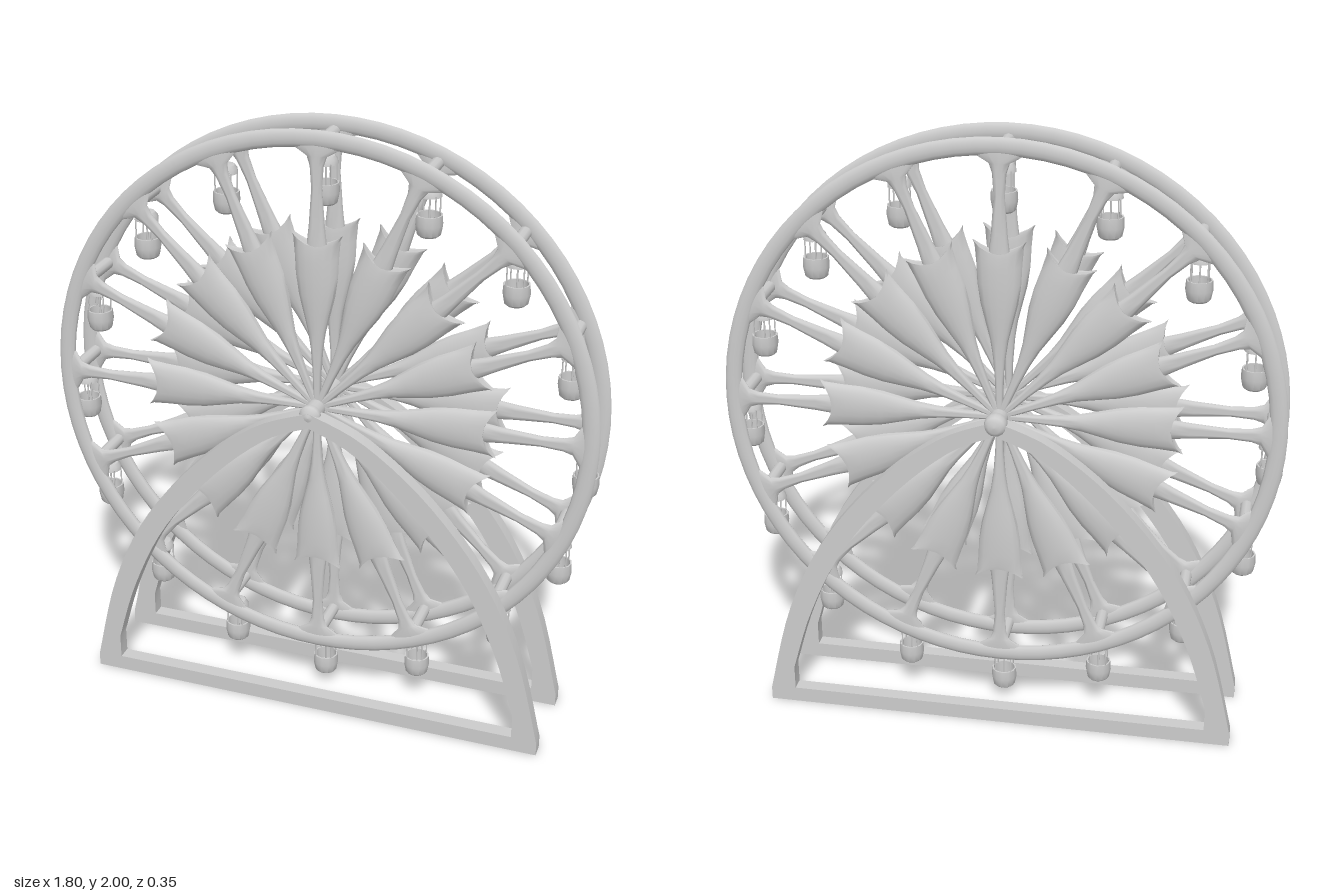
import * as THREE from 'three';
import { toCreasedNormals } from 'three/addons/utils/BufferGeometryUtils.js';

const COUNT = 16, HUB_Y = 1.1, BAR_R = 0.85, WHEEL_Z = 0.084;
const material = new THREE.MeshStandardMaterial({ color: 0xcccccc });

function part(name, geometry, parent, x = 0, y = 0, z = 0) {
  const mesh = new THREE.Mesh(geometry, material);
  mesh.name = name;
  mesh.position.set(x, y, z);
  parent.add(mesh);
  return mesh;
}

const lathe = (points, sides) =>
  new THREE.LatheGeometry(points.map(([r, y]) => new THREE.Vector2(r, y)), sides);

// Loft of elliptical rings along y: [y, half width, half depth, tip];
// the tip pushes the sides of a ring further out, giving the two petal points.
function loft(sections, sides) {
  const pos = [], index = [];
  sections.forEach(([y, w, d, tip = 0], i) => {
    for (let j = 0; j < sides; j++) {
      const a = (j / sides) * Math.PI * 2, c = Math.cos(a);
      pos.push(w * c, y + tip * c * c, d * Math.sin(a));
      if (i === sections.length - 1) continue;
      const k = (j + 1) % sides, p = i * sides, q = p + sides;
      index.push(p + j, q + j, p + k, p + k, q + j, q + k);
    }
  });
  const g = new THREE.BufferGeometry();
  g.setAttribute('position', new THREE.Float32BufferAttribute(pos, 3));
  g.setIndex(index);
  return toCreasedNormals(g, 0.9);
}

// Spoke with a tulip-shaped petal and a flared outer end
const spokeGeometry = loft([
  [0, 0.011, 0.011], [0.12, 0.014, 0.013], [0.2, 0.02, 0.016], [0.26, 0.029, 0.019],
  [0.32, 0.044, 0.023], [0.38, 0.059, 0.026], [0.44, 0.068, 0.027, 0.005],
  [0.49, 0.071, 0.026, 0.018], [0.53, 0.076, 0.024, 0.036], [0.542, 0.083, 0.022, 0.04],
  [0.542, 0.07, 0.018, 0.025], [0.54, 0.032, 0.016, 0.008],
  [0.6, 0.026, 0.014], [0.72, 0.017, 0.012], [0.79, 0.022, 0.011],
  [0.82, 0.032, 0.011], [0.848, 0.08, 0.011], [0.865, 0.085, 0.009],
], 16);

// Rim with an elliptical section
const rimProfile = [];
for (let i = 0; i <= 12; i++) {
  const a = (i / 12) * Math.PI * 2;
  rimProfile.push([0.872 + 0.028 * Math.cos(a), 0.014 * Math.sin(a)]);
}
const rimGeometry = lathe(rimProfile, 80).rotateX(Math.PI / 2);

function makeWheelSide(name, z) {
  const side = new THREE.Group();
  side.name = name;
  side.position.set(0, HUB_Y, z);
  part('rim', rimGeometry, side);
  for (let i = 0; i < COUNT; i++)
    part('petalSpoke', spokeGeometry, side).rotation.z = (i / COUNT) * Math.PI * 2;
  return side;
}

// Cabin, measured downwards from its crossbar
const bowlGeometry = toCreasedNormals(lathe([
  [0, -0.203], [0.029, -0.203], [0.037, -0.196], [0.043, -0.165], [0.041, -0.135],
  [0.036, -0.135], [0.036, -0.18], [0, -0.18],
], 12), 0.7);
const roofGeometry = toCreasedNormals(lathe([
  [0, -0.077], [0.038, -0.077], [0.036, -0.062], [0.028, -0.051], [0, -0.047],
], 12), 0.7);
const postGeometry = new THREE.CylinderGeometry(0.0025, 0.0025, 0.07, 5);
const poleGeometry = new THREE.CylinderGeometry(0.003, 0.003, 0.18, 6);

function makeCabin() {
  const cabin = new THREE.Group();
  cabin.name = 'cabin';
  part('bowl', bowlGeometry, cabin);
  part('roof', roofGeometry, cabin);
  part('centrePole', poleGeometry, cabin, 0, -0.09);
  for (let i = 0; i < 4; i++) {
    const a = Math.PI / 4 + (i * Math.PI) / 2;
    part('post', postGeometry, cabin, 0.037 * Math.cos(a), -0.105, 0.037 * Math.sin(a));
  }
  return cabin;
}

// Curved A-frame: right half outlines, mirrored
function makeFrameGeometry() {
  const curve = (pts) =>
    new THREE.SplineCurve(pts.map(([x, y]) => new THREE.Vector2(x, y))).getPoints(24);
  const mirrored = (half) =>
    [...half, ...half.slice(0, -1).reverse().map((p) => new THREE.Vector2(-p.x, p.y))];
  const outer = mirrored([new THREE.Vector2(0.785, 0), ...curve([
    [0.785, 0.045], [0.705, 0.36], [0.58, 0.63], [0.39, 0.87], [0.18, 1.04], [0, 1.115],
  ])]);
  const inner = mirrored([new THREE.Vector2(0.7, 0.052), ...curve([
    [0.7, 0.135], [0.63, 0.36], [0.515, 0.6], [0.34, 0.825], [0.15, 0.995], [0, 1.065],
  ])]);
  const shape = new THREE.Shape(outer);
  shape.holes.push(new THREE.Path(inner));
  const g = new THREE.ExtrudeGeometry(shape, { depth: 0.047, bevelEnabled: false });
  return toCreasedNormals(g.translate(0, 0, -0.0235), 0.5);
}

export function createModel() {
  const model = new THREE.Group();
  model.name = 'ferrisWheel';

  // Supports
  const frameGeometry = makeFrameGeometry();
  part('frontFrame', frameGeometry, model, 0, 0, 0.149);
  part('backFrame', frameGeometry, model, 0, 0, -0.14);

  // Axle with domed ends
  const axleGeometry = lathe([
    [0, -0.178], [0.02, -0.176], [0.032, -0.168], [0.037, -0.155], [0.036, -0.135],
    [0.03, -0.125], [0.03, 0.135], [0.035, 0.145], [0.034, 0.16], [0.022, 0.171], [0, 0.175],
  ], 16).rotateX(Math.PI / 2);
  part('axle', axleGeometry, model, 0, HUB_Y, 0);

  // Wheel sides
  model.add(makeWheelSide('frontWheel', WHEEL_Z), makeWheelSide('backWheel', -WHEEL_Z));

  // Crossbars with hanging cabins
  const barGeometry = new THREE.CylinderGeometry(0.02, 0.02, WHEEL_Z * 2, 10).rotateX(Math.PI / 2);
  for (let i = 0; i < COUNT; i++) {
    const a = (i / COUNT) * Math.PI * 2;
    const x = BAR_R * Math.cos(a), y = HUB_Y + BAR_R * Math.sin(a);
    part('crossbar', barGeometry, model, x, y, 0);
    const cabin = makeCabin();
    cabin.position.set(x, y, 0);
    model.add(cabin);
  }
  return model;
}
